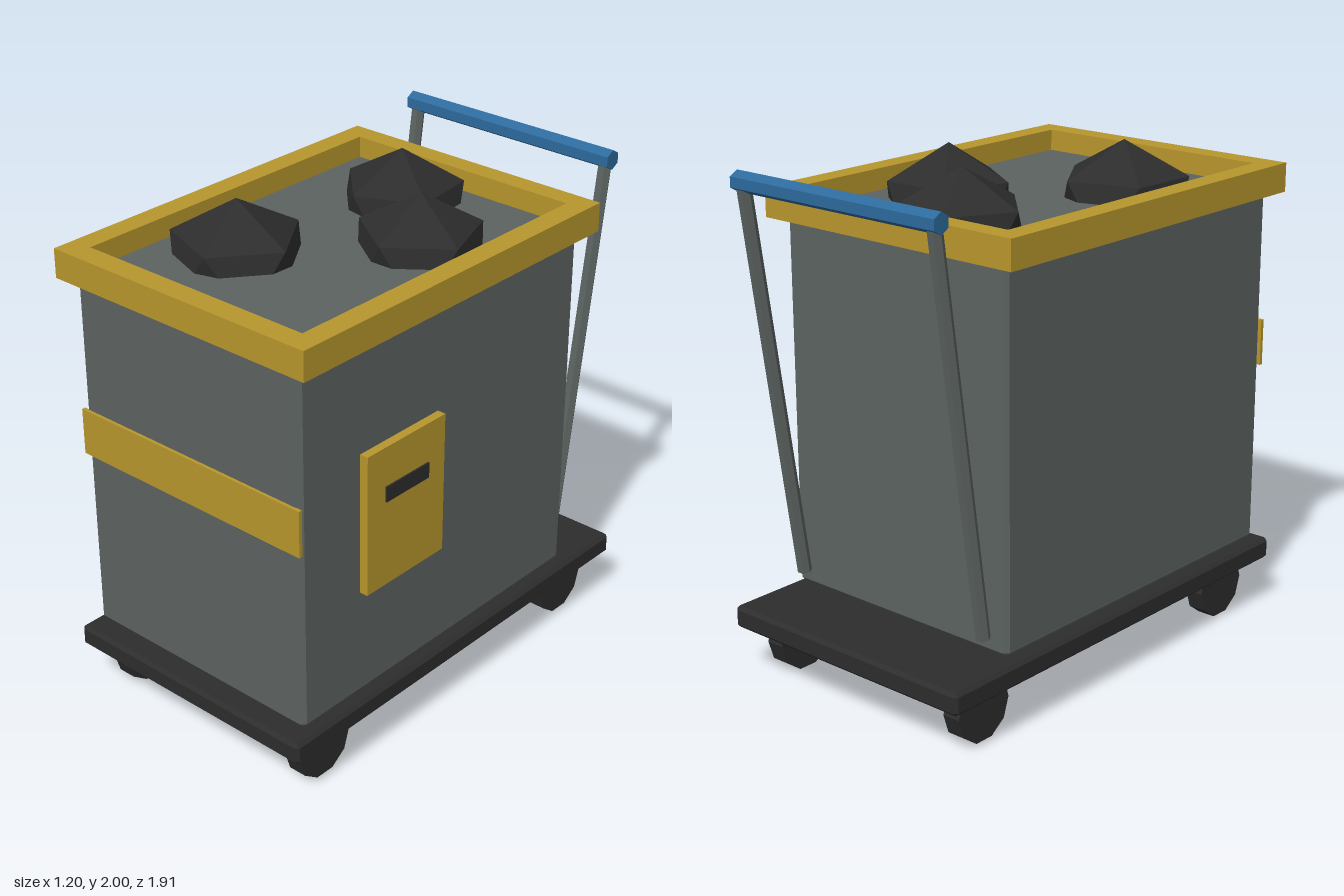
import * as THREE from 'three';
import { ConvexGeometry } from 'three/addons/geometries/ConvexGeometry.js';

const paint = (name, color) => {
  const m = new THREE.MeshStandardMaterial({ color, flatShading: true });
  m.name = name;
  return m;
};

// Box given by its min and max corners, with flat chamfered edges when c > 0
function block([x0, y0, z0], [x1, y1, z1], c = 0) {
  const size = [x1 - x0, y1 - y0, z1 - z0];
  const centre = [(x0 + x1) / 2, (y0 + y1) / 2, (z0 + z1) / 2];
  if (!c) return new THREE.BoxGeometry(...size).translate(...centre);
  const points = [];
  for (const sx of [-1, 1]) for (const sy of [-1, 1]) for (const sz of [-1, 1]) {
    for (let full = 0; full < 3; full++) {
      const p = [sx, sy, sz].map((s, i) => centre[i] + s * (size[i] / 2 - (i === full ? 0 : c)));
      points.push(new THREE.Vector3(...p));
    }
  }
  return new ConvexGeometry(points);
}

// Straight rod between two points
function rod(a, b, radius, sides) {
  const from = new THREE.Vector3(...a), dir = new THREE.Vector3(...b).sub(from);
  const g = new THREE.CylinderGeometry(radius, radius, dir.length(), sides);
  g.rotateY(Math.PI / sides);
  g.applyQuaternion(new THREE.Quaternion().setFromUnitVectors(
    new THREE.Vector3(0, 1, 0), dir.clone().normalize()));
  return g.translate(...from.addScaledVector(dir, 0.5).toArray());
}

// Rectangle outline in plan (x, -z)
function outline(shape, x, zBack, zFront) {
  shape.moveTo(-x, -zFront);
  shape.lineTo(x, -zFront);
  shape.lineTo(x, -zBack);
  shape.lineTo(-x, -zBack);
  shape.closePath();
  return shape;
}

export function createModel() {
  const group = new THREE.Group();
  group.name = 'wheeledCart';
  const grey = paint('binGrey', 0x5c6361);
  const yellow = paint('trimYellow', 0xb8962d);
  const black = paint('charcoalBlack', 0x2d2d2d);
  const blue = paint('handleBlue', 0x2d6a9c);
  const add = (name, geometry, material) => {
    const mesh = new THREE.Mesh(geometry, material);
    mesh.name = name;
    group.add(mesh);
  };

  // Rolling base
  add('platform', block([-0.575, 0.2, -0.957], [0.575, 0.29, 0.957], 0.014), black);
  for (const x of [-0.462, 0.462]) for (const z of [-0.727, 0.73]) {
    const wheel = new THREE.CylinderGeometry(0.134, 0.134, 0.075, 10);
    add('wheel', wheel.rotateZ(Math.PI / 2).translate(x, 0.1275, z), black);
  }

  // Bin and its open rim
  add('bin', block([-0.54, 0.305, -0.65], [0.54, 1.79, 0.885], 0.018), grey);
  const rimShape = outline(new THREE.Shape(), 0.602, -0.695, 0.925);
  rimShape.holes.push(outline(new THREE.Path(), 0.512, -0.608, 0.833));
  const rim = new THREE.ExtrudeGeometry(rimShape, { depth: 0.115, bevelEnabled: false });
  add('rim', rim.rotateX(-Math.PI / 2).translate(0, 1.76, 0), yellow);

  // Front band and side panel with its slot
  add('frontBand', block([-0.545, 1.05, 0.883], [0.545, 1.237, 0.898]), yellow);
  add('sidePanel', block([0.555, 0.765, 0.177], [0.59, 1.335, 0.597]), yellow);
  add('panelSlot', block([0.588, 1.115, 0.27], [0.597, 1.177, 0.502]), black);

  // Push handle
  for (const x of [-0.464, 0.464])
    add('handlePost', rod([x, 0.38, -0.69], [x, 1.94, -0.918], 0.028, 6), grey);
  const grip = new THREE.CylinderGeometry(0.04, 0.04, 0.992, 6).rotateY(Math.PI / 6);
  add('handleGrip', grip.rotateZ(Math.PI / 2).translate(0, 1.95, -0.918), blue);

  // Coal lumps, each standing point up: x, z, radius, turn in degrees
  for (const [x, z, r, turn] of [
    [-0.1, -0.385, 0.266, -10], [0.23, -0.1, 0.268, 2], [-0.23, 0.38, 0.278, 16],
  ]) {
    const lump = new THREE.IcosahedronGeometry(1, 0);
    lump.rotateX(-Math.atan((1 + Math.sqrt(5)) / 2));
    lump.rotateY(THREE.MathUtils.degToRad(turn));
    lump.scale(r, 0.246, r).translate(x, 2 - 0.246, z);
    add('lump', lump, black);
  }
  return group;
}
